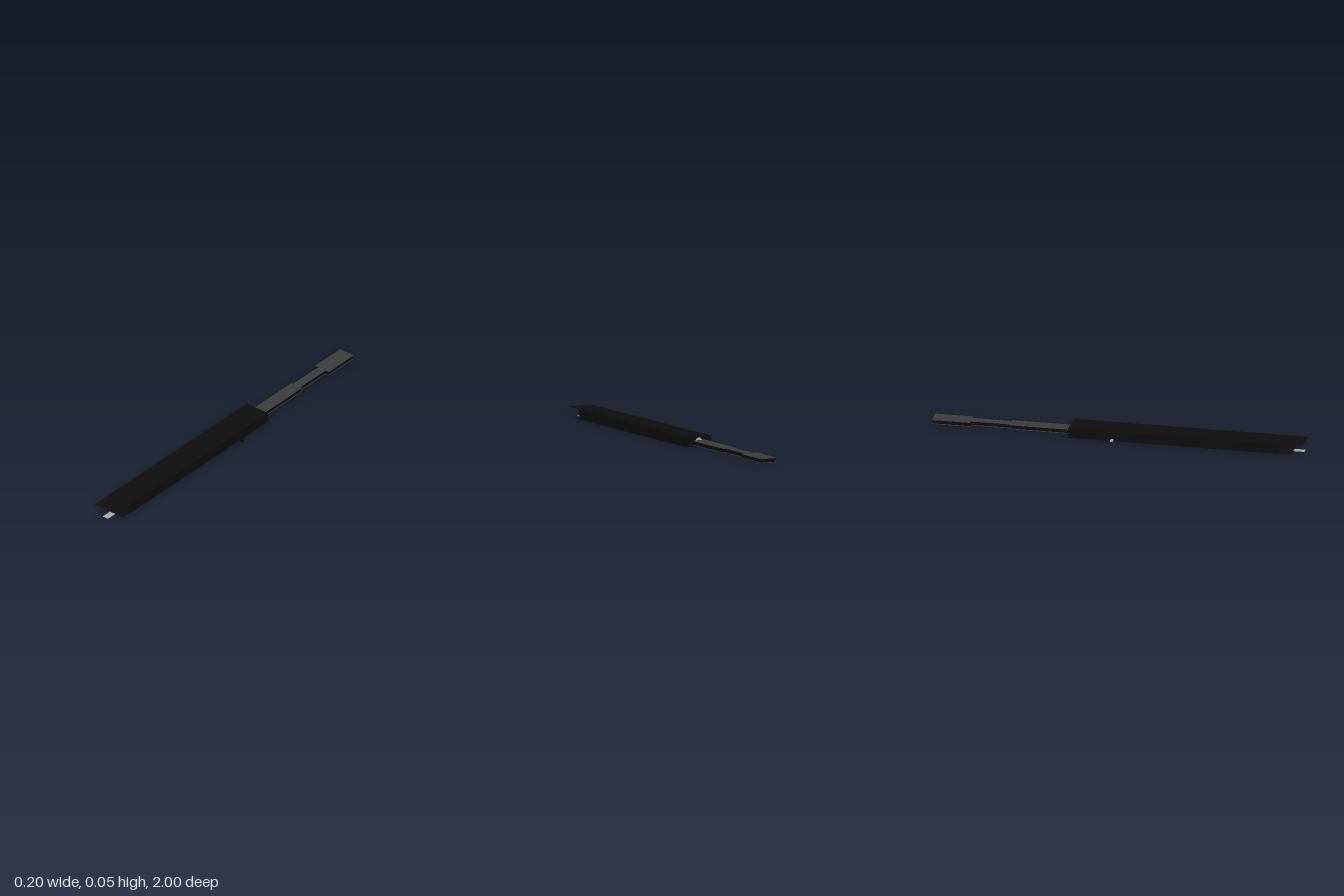
import * as THREE from 'three';

const black = new THREE.MeshStandardMaterial({ color: 0x0d0d0d, side: THREE.DoubleSide });
black.name = 'black casing';
const grey = new THREE.MeshStandardMaterial({ color: 0x3c3c3c });
grey.name = 'dark grey';
const light = new THREE.MeshStandardMaterial({ color: 0xa8a8a8, side: THREE.DoubleSide });
light.name = 'light metal';

// Box given by its limits on each axis
function box(name, material, [x0, x1], [y0, y1], [z0, z1]) {
  const mesh = new THREE.Mesh(new THREE.BoxGeometry(x1 - x0, y1 - y0, z1 - z0), material);
  mesh.position.set((x0 + x1) / 2, (y0 + y1) / 2, (z0 + z1) / 2);
  mesh.name = name;
  return mesh;
}

// Flat horizontal sheet without thickness
function sheet(name, material, [x0, x1], y, [z0, z1]) {
  const mesh = new THREE.Mesh(new THREE.PlaneGeometry(x1 - x0, z1 - z0).rotateX(-Math.PI / 2), material);
  mesh.position.set((x0 + x1) / 2, y, (z0 + z1) / 2);
  mesh.name = name;
  return mesh;
}

export function createModel() {
  const model = new THREE.Group();
  model.name = 'sheathedTool';
  const cx = -0.003, left = 0.07, right = -0.076, back = -0.26, height = 0.053;

  // Hollow casing: open at the front, with a longer roof and floor
  const casing = new THREE.Group();
  casing.name = 'casing';
  casing.add(
    sheet('roof', black, [right, left], height, [back, 1]),
    sheet('floor', black, [right, left], 0.002, [back, 0.94]),
    box('leftWall', black, [left - 0.002, left], [0, height], [back, 0.872]),
    box('rightWall', black, [right, right + 0.002], [0, height], [back, 0.872]),
    box('backWall', black, [right, left], [0, height], [back, back + 0.002])
  );
  model.add(casing);

  // Light strip along the floor, its tip projecting at the front
  model.add(sheet('runnerStrip', light, [cx - 0.018, cx + 0.018], 0.0005, [back, 1]));

  // Round plug through the back wall
  const plug = new THREE.Mesh(new THREE.CylinderGeometry(0.021, 0.021, 0.006, 24).rotateX(Math.PI / 2), light);
  plug.position.set(cx, 0.026, back + 0.002);
  plug.name = 'backPlug';
  model.add(plug);

  // Small side tabs
  model.add(
    box('leftTab', black, [left, 0.097], [0.004, 0.016], [-0.03, -0.015]),
    box('rightTab', light, [-0.1, right], [0.004, 0.012], [-0.03, -0.015])
  );

  // Stepped handle: dark core between grey top and bottom plates
  const handle = new THREE.Group();
  handle.name = 'handle';
  const steps = [[0.036, -0.585, back], [0.024, -0.795, -0.585], [0.046, -1, -0.795]];
  steps.forEach(([w, z0, z1], i) => {
    const xs = [cx - w, cx + w];
    handle.add(
      box('handleCore' + i, black, [cx - w + 0.003, cx + w - 0.003], [0.011, 0.03], [z0 + 0.003, z1]),
      box('handleTop' + i, grey, xs, [0.03, 0.033], [z0, z1]),
      box('handleBottom' + i, grey, xs, [0.008, 0.011], [z0, z1])
    );
  });
  model.add(handle);
  return model;
}
